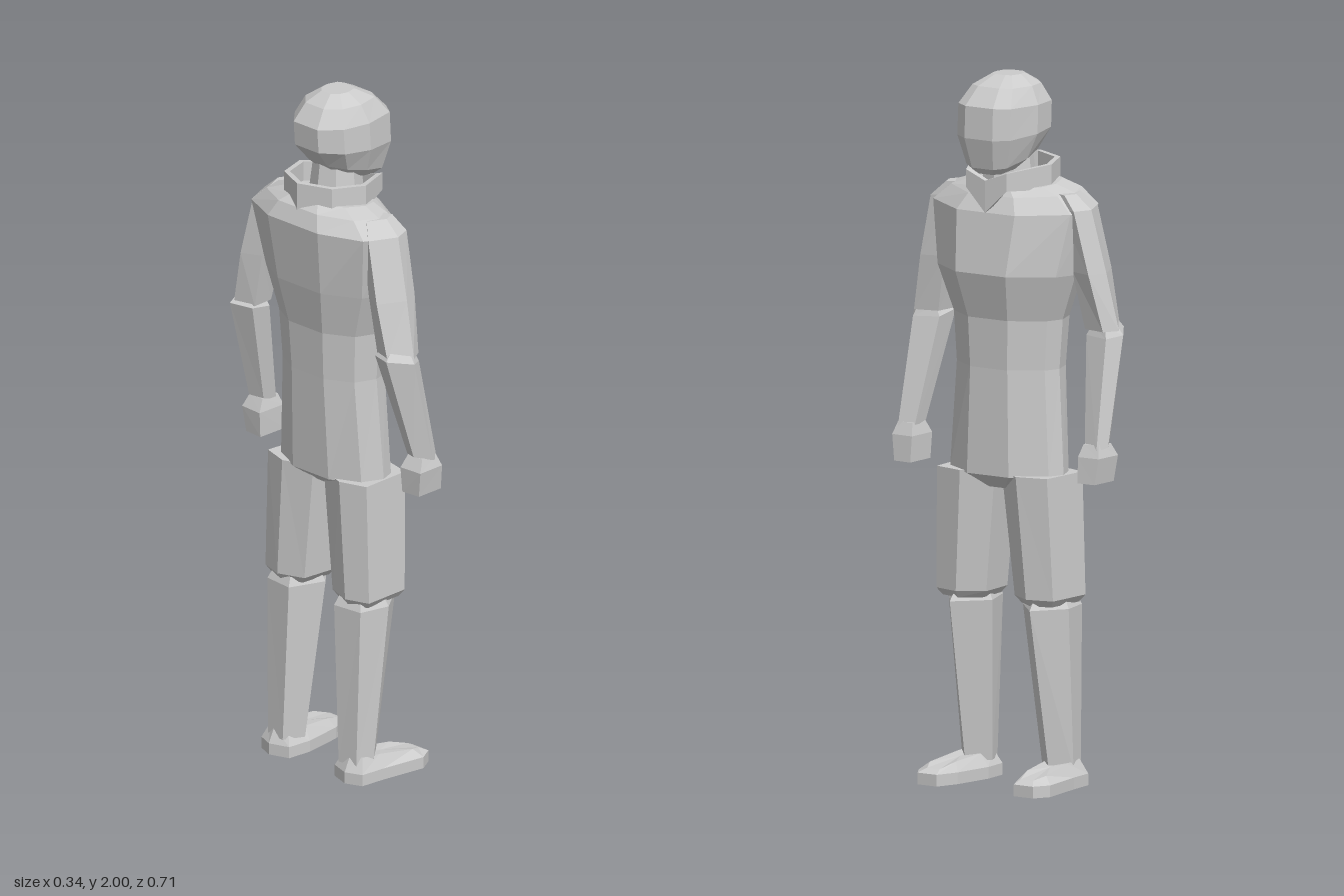
import * as THREE from 'three';

const grey = new THREE.MeshStandardMaterial({ color: 0xcccccc, flatShading: true, side: THREE.DoubleSide });

// Skin a stack of rings (bottom to top, points [x, y, z]) and cap both ends;
// "tube" joins the last ring back to the first instead.
function loft(name, rings, { mirror = false, tube = false } = {}) {
  const pos = [], n = rings[0].length;
  const tri = (a, b, c) => {
    for (const p of mirror ? [a, c, b] : [a, b, c]) pos.push(p[0], p[1], mirror ? -p[2] : p[2]);
  };
  const last = tube ? rings.length : rings.length - 1;
  for (let r = 0; r < last; r++) {
    const low = rings[r], high = rings[(r + 1) % rings.length];
    for (let i = 0; i < n; i++) {
      const j = (i + 1) % n;
      tri(low[i], high[i], low[j]);
      tri(low[j], high[i], high[j]);
    }
  }
  if (!tube) {
    const centre = ring => [0, 1, 2].map(k => ring.reduce((s, p) => s + p[k], 0) / n);
    const bottom = rings[0], top = rings[rings.length - 1];
    const cb = centre(bottom), ct = centre(top);
    for (let i = 0; i < n; i++) {
      const j = (i + 1) % n;
      tri(cb, bottom[i], bottom[j]);
      tri(ct, top[j], top[i]);
    }
  }
  const geo = new THREE.BufferGeometry();
  geo.setAttribute('position', new THREE.Float32BufferAttribute(pos, 3));
  geo.computeVertexNormals();
  const mesh = new THREE.Mesh(geo, grey);
  mesh.name = name;
  return mesh;
}

// Complete a half outline (z > 0, front to back) with its mirror image
const symmetric = half => [...half, ...half.filter(p => p[1] > 0).reverse().map(([u, v]) => [u, -v])];

// Fit a unit outline between x0..x1 and z0..z1 at height y, with optional tilt
const section = (outline, y, x0, x1, z0, z1, tilt = 0) => outline.map(([u, v]) => [
  (x0 + x1) / 2 + u * (x1 - x0) / 2, y + tilt * u, (z0 + z1) / 2 + v * (z1 - z0) / 2]);

const bodyOutline = symmetric([[1, 0.38], [0.45, 0.9], [0, 1], [-0.6, 0.86], [-1, 0.38]]);
const headOutline = symmetric([[1, 0.42], [0.8, 0.8], [0.05, 1], [-0.6, 0.87], [-1, 0.42]]);
const thighOutline = [[1, -0.1], [0.8, 0.9], [-0.75, 1], [-1, 0.1], [-0.7, -0.9], [0.5, -1]];
const shinOutline = [[1, 0.1], [0.05, 1], [-0.9, 0.75], [-1, -0.5], [0.1, -1]];
const armOutline = [[1, 0.5], [0.2, 1], [-1, 0.2], [-0.6, -1], [0.7, -0.9]];
const boxOutline = [[1, -0.85], [0.95, 0.9], [-0.9, 1], [-1, -0.9]];

function makeTorso() {
  // [y, back, front, half width, tilt]
  const rows = [
    [0.84, -0.05, 0.06, 0.07, 0], [0.88, -0.1, 0.105, 0.185, 0], [1.18, -0.112, 0.1, 0.165, 0],
    [1.32, -0.12, 0.105, 0.175, 0], [1.45, -0.145, 0.14, 0.222, 0], [1.63, -0.17, 0.115, 0.258, -0.01],
    [1.675, -0.15, 0.09, 0.2, -0.01], [1.695, -0.125, 0.075, 0.14, -0.01]];
  return loft('torso', rows.map(([y, b, f, w, t]) => section(bodyOutline, y, b, f, -w, w, t)));
}

function makeHead() {
  const rows = [
    [1.74, -0.02, 0.115, 0.055, -0.012], [1.77, -0.07, 0.13, 0.085, -0.025], [1.84, -0.115, 0.15, 0.112, -0.01],
    [1.92, -0.12, 0.146, 0.111, 0], [1.97, -0.085, 0.1, 0.085, 0], [1.998, -0.04, 0.045, 0.042, 0]];
  return loft('head', rows.map(([y, b, f, w, t]) => section(headOutline, y, b, f, -w, w, t)));
}

function makeCollar() {
  // [x, z, lower y, upper y], dipping to a point at the throat
  const half = [[0.118, 0, 1.62, 1.71], [0.112, 0.068, 1.685, 1.735], [-0.015, 0.132, 1.68, 1.75],
    [-0.11, 0.095, 1.65, 1.755], [-0.153, 0, 1.64, 1.758]];
  const pts = [...half, ...half.slice(1, -1).reverse().map(([x, z, a, b]) => [x, -z, a, b])];
  const ring = (scale, k) => pts.map(p => [p[0] * scale - 0.015 * (1 - scale), p[k], p[1] * scale]);
  return loft('collar', [ring(1, 2), ring(1, 3), ring(0.88, 3), ring(0.88, 2)], { tube: true });
}

function makeLeg(mirror) {
  const leg = new THREE.Group();
  const o = { mirror };
  leg.add(loft('thigh', [
    section(thighOutline, 0.52, -0.085, 0.075, 0.065, 0.19),
    section(thighOutline, 0.54, -0.098, 0.09, 0.048, 0.205),
    section(thighOutline, 0.885, -0.1, 0.105, 0.012, 0.195)], o));
  leg.add(loft('shin', [
    section(shinOutline, 0.05, -0.1, 0.012, 0.085, 0.188),
    section(shinOutline, 0.51, -0.097, 0.095, 0.052, 0.203),
    section(shinOutline, 0.535, -0.085, 0.075, 0.065, 0.19)], o));
  // Foot outline [x, z, height of the upper]
  const sole = [[0.165, 0.13, 0.045], [0.165, 0.195, 0.045], [0.12, 0.222, 0.055], [-0.02, 0.205, 0.07],
    [-0.095, 0.2, 0.075], [-0.115, 0.15, 0.075], [-0.095, 0.09, 0.075], [-0.02, 0.085, 0.07], [0.1, 0.105, 0.06]];
  const upper = sole.map(([x, z, h]) => [0.01 + (x - 0.01) * 0.84, h, 0.15 + (z - 0.15) * 0.65]);
  leg.add(loft('foot', [
    sole.map(([x, z]) => [x, 0, z]),
    sole.map(([x, z]) => [x, 0.033, z]),
    upper], o));
  return leg;
}

function makeArm(mirror) {
  const arm = new THREE.Group();
  const o = { mirror };
  arm.add(loft('upperArm', [
    section(armOutline, 1.3, -0.1, 0.005, 0.243, 0.345),
    section(armOutline, 1.46, -0.108, 0.025, 0.212, 0.308),
    section(armOutline, 1.635, -0.1, 0.035, 0.175, 0.264),
    section(armOutline, 1.675, -0.07, 0.02, 0.155, 0.215)], o));
  arm.add(loft('forearm', [
    section(armOutline, 0.985, -0.02, 0.06, 0.285, 0.353, -0.012),
    section(armOutline, 1.29, -0.11, 0.0, 0.243, 0.354, -0.01),
    section(armOutline, 1.315, -0.09, -0.01, 0.26, 0.335, -0.005)], o));
  arm.add(loft('hand', [
    section(boxOutline, 0.882, -0.02, 0.075, 0.278, 0.342),
    section(boxOutline, 0.955, -0.025, 0.07, 0.275, 0.353),
    section(boxOutline, 0.99, -0.005, 0.055, 0.285, 0.342)], o));
  return arm;
}

export function createModel() {
  const figure = new THREE.Group();
  figure.name = 'standingFigure';
  figure.add(makeTorso(), makeHead(), makeCollar());

  const neck = new THREE.Mesh(new THREE.CylinderGeometry(0.065, 0.085, 0.16, 8), grey);
  neck.name = 'neck';
  neck.position.set(0, 1.71, 0);
  figure.add(neck);

  // Limbs, mirrored across the body
  for (const mirror of [false, true]) {
    const side = mirror ? 'far' : 'near';
    const leg = makeLeg(mirror), arm = makeArm(mirror);
    leg.name = side + 'Leg';
    arm.name = side + 'Arm';
    figure.add(leg, arm);
  }
  figure.position.x = -0.0;
  return figure;
}
